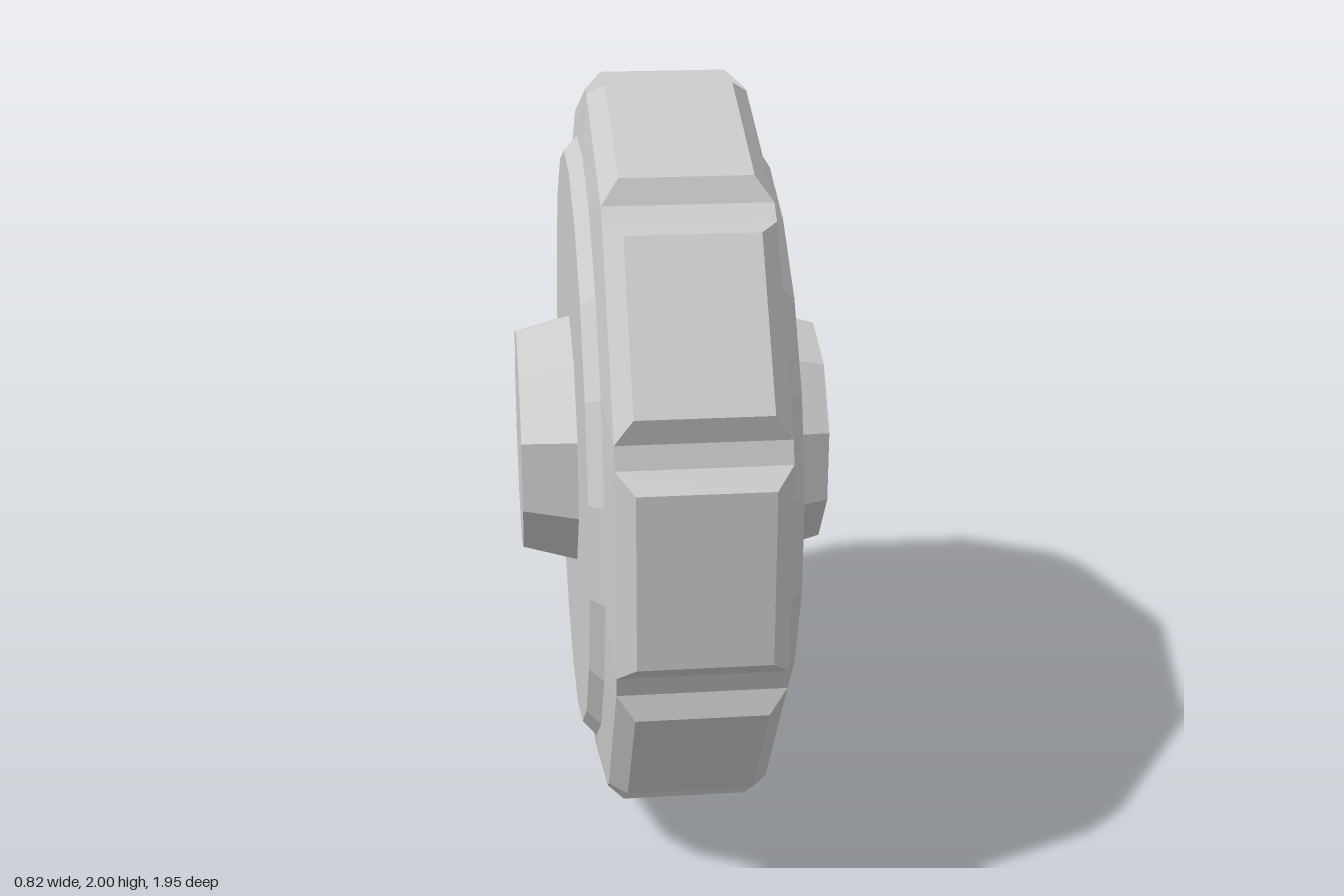
import * as THREE from 'three';

const V = (x, y, z) => new THREE.Vector3(x, y, z);

// Skin a list of equal-length loops; a one-point loop closes an end.
function loft(loops) {
  const pos = [];
  const tri = (...pts) => pts.forEach(p => pos.push(p.x, p.y, p.z));
  for (let i = 0; i < loops.length - 1; i++) {
    const a = loops[i], b = loops[i + 1];
    const n = Math.max(a.length, b.length);
    for (let j = 0; j < n; j++) {
      const k = (j + 1) % n;
      if (b.length > 1) tri(a[j % a.length], b[j], b[k]);
      if (a.length > 1) tri(a[j], b[k % b.length], a[k]);
    }
  }
  const g = new THREE.BufferGeometry();
  g.setAttribute('position', new THREE.Float32BufferAttribute(pos, 3));
  g.computeVertexNormals();
  return g;
}

export function createModel() {
  const wheel = new THREE.Group();
  wheel.name = 'wheel';
  wheel.position.y = 1;
  const mat = new THREE.MeshStandardMaterial({ color: 0xcccccc, flatShading: true });
  const add = (name, geometry) => {
    const m = new THREE.Mesh(geometry, mat);
    m.name = name;
    wheel.add(m);
    return m;
  };

  const BLOCKS = 10, STEP = Math.PI * 2 / BLOCKS;
  // Underside of a tread block: half width, half length, distance from the axle
  const base = { w: 0.21, l: 0.27, r: 0.927 };
  const top = { w: 0.165, l: 0.225, r: 0.977 };

  // Tyre body: two corners per tread block, blending into an even 20-gon sidewall
  const ring = (x, r, half) => {
    const pts = [];
    for (let i = 0; i < BLOCKS; i++)
      for (const s of [-1, 1]) {
        const a = i * STEP + s * half;
        pts.push(V(x, r * Math.sin(a), r * Math.cos(a)));
      }
    return pts;
  };
  const rimR = Math.hypot(base.l, base.r), rimA = Math.atan2(base.l, base.r);
  add('tyreBody', loft([
    [V(-0.264, 0, 0)],
    ring(-0.264, 0.79, STEP / 4),
    ring(-0.228, 0.83, STEP / 4),
    ring(-base.w, rimR, rimA),
    ring(base.w, rimR, rimA),
    ring(0.228, 0.83, STEP / 4),
    ring(0.262, 0.79, STEP / 4),
    [V(0.262, 0, 0)],
  ]));

  // Bevelled tread blocks around the rim
  const rect = ({ w, l, r }) => [V(-w, -l, r), V(-w, l, r), V(w, l, r), V(w, -l, r)];
  const blockGeo = loft([rect(base), rect(top), [V(0, 0, top.r)]]);
  for (let i = 0; i < BLOCKS; i++) add('treadBlock' + (i + 1), blockGeo).rotation.x = i * STEP;

  // Tapered ten-sided hubs on both sides
  for (const s of [-1, 1]) {
    const hub = new THREE.CylinderGeometry(0.31, 0.352, 0.15, 10, 1, false, Math.PI / 10);
    hub.rotateZ(-s * Math.PI / 2).translate(s * 0.335, 0, 0);
    add(s > 0 ? 'leftHub' : 'rightHub', hub);
  }

  const model = new THREE.Group();
  model.add(wheel);
  return model;
}
